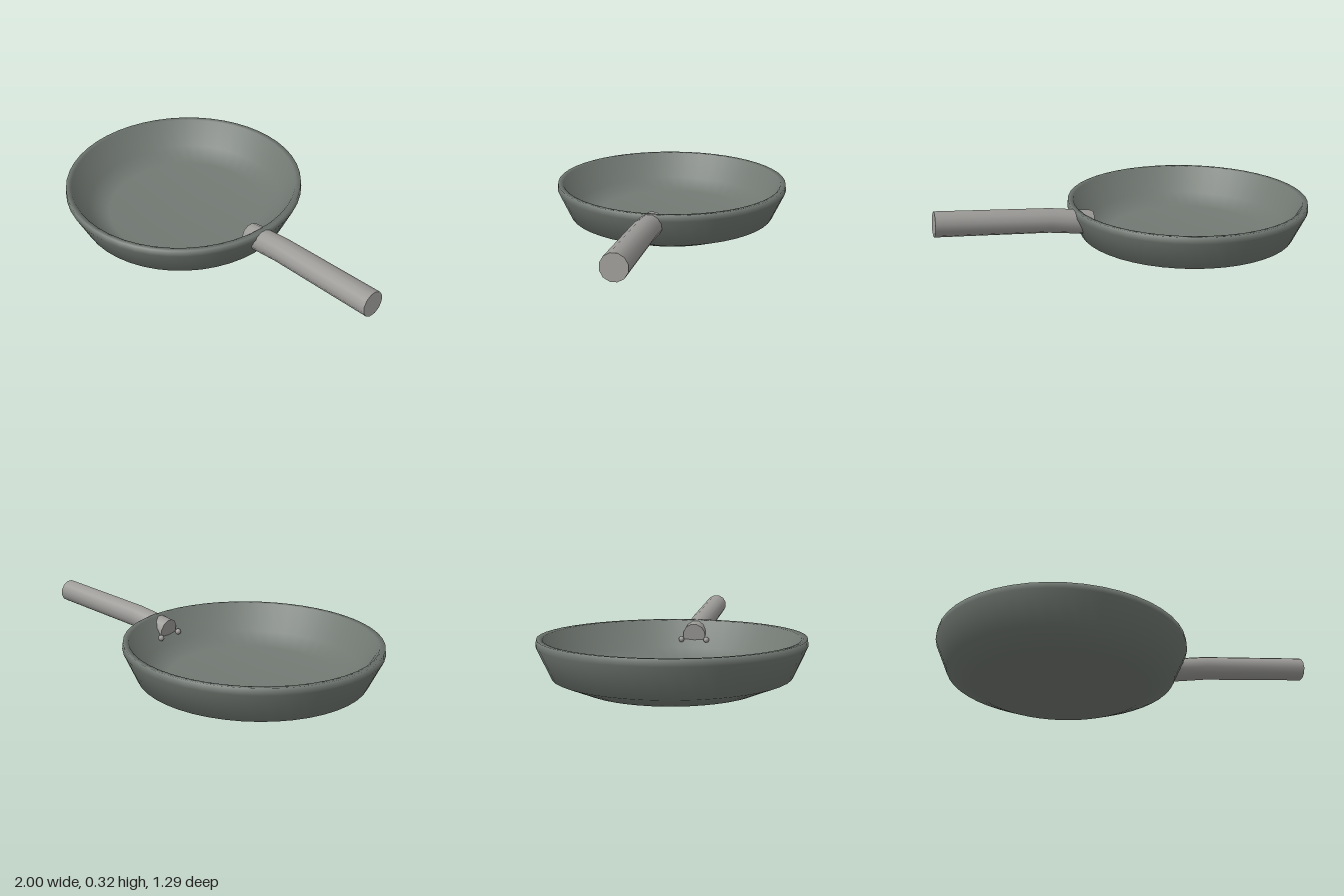
import * as THREE from 'three';
import { toCreasedNormals } from 'three/addons/utils/BufferGeometryUtils.js';

const PAN_X = -0.353;

export function createModel() {
  const group = new THREE.Group();
  const panMetal = new THREE.MeshStandardMaterial({ color: 0x727973 });
  panMetal.name = 'dark pan metal';
  const handleMetal = new THREE.MeshStandardMaterial({ color: 0x9c9b98 });
  handleMetal.name = 'light handle metal';

  const add = (name, geometry, material, x = 0, y = 0, z = 0) => {
    const mesh = new THREE.Mesh(geometry, material);
    mesh.name = name;
    mesh.position.set(x, y, z);
    group.add(mesh);
  };

  // Pan: one closed profile, up the outside, over the rim and down the inside
  const profile = [
    [0, 0], [0.44, 0], [0.58, 0.06], [0.647, 0.21], [0.643, 0.243],
    [0.615, 0.24], [0.537, 0.1], [0.43, 0.04], [0, 0.04],
  ].map(([r, y]) => new THREE.Vector2(r, y));
  add('pan', new THREE.LatheGeometry(profile, 48), panMetal, PAN_X);

  // Handle: a 12-sided rod bent once, its rings laid along the path
  const rings = [
    { x: 0.2, y: 0.166, tilt: 0.17 },
    { x: 0.42, y: 0.203, tilt: 0.135 },
    { x: 0.99, y: 0.258, tilt: 0.1 },
  ];
  const rod = new THREE.CylinderGeometry(0.0625, 0.0625, 2, 12, 2);
  rod.rotateY(Math.PI / 12);
  const p = rod.attributes.position;
  for (let i = 0; i < p.count; i++) {
    const ring = rings[Math.round(p.getY(i)) + 1];
    const up = -p.getX(i);
    p.setXYZ(i, ring.x - up * Math.sin(ring.tilt), ring.y + up * Math.cos(ring.tilt), p.getZ(i));
  }
  add('handle', toCreasedNormals(rod, 0.8), handleMetal);

  // Rivets on the inner wall, either side of the handle
  for (const side of [-1, 1]) {
    add('rivet', new THREE.SphereGeometry(0.016, 12, 8), handleMetal, 0.191, 0.142, side * 0.07);
  }
  return group;
}
